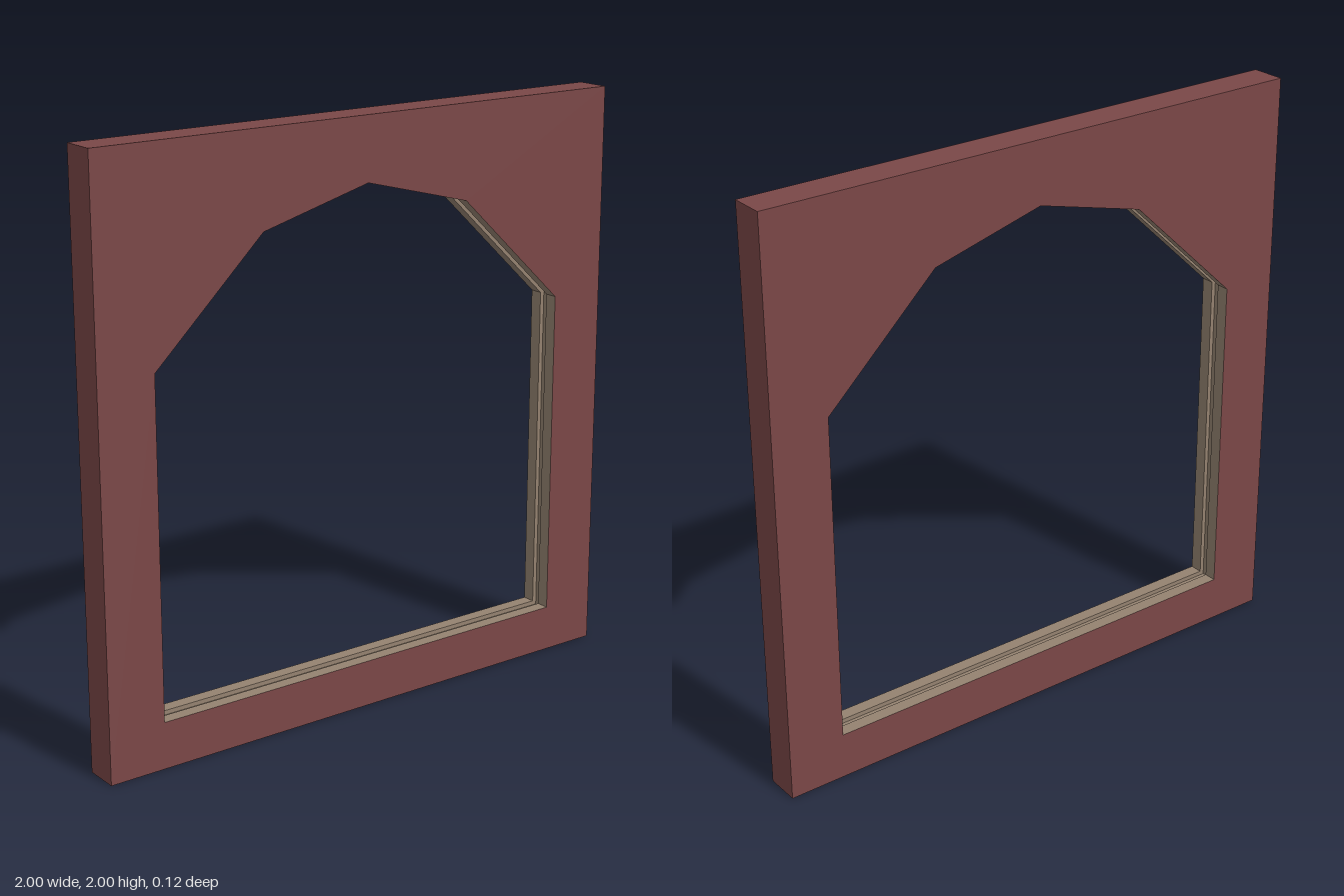
import * as THREE from 'three';

const HALF = 0.06; // half the wall thickness

// Opening outline, counter-clockwise seen from the front
const opening = [
  [-0.8, 0.16], [0.8, 0.16], [0.8, 1.3], [0.4, 1.68],
  [0, 1.785], [-0.4, 1.68], [-0.8, 1.3],
].map(([x, y]) => new THREE.Vector2(x, y));

// Outline pushed outward into the wall with mitred corners
function offsetOutline(points, d) {
  const n = points.length;
  const normal = (a, b) => new THREE.Vector2(b.y - a.y, a.x - b.x).normalize();
  return points.map((p, i) => {
    const n1 = normal(points[(i + n - 1) % n], p);
    const n2 = normal(p, points[(i + 1) % n]);
    const m = n1.clone().add(n2).normalize();
    return p.clone().addScaledVector(m, d / m.dot(n1));
  });
}

// Reveal surface: a cross-section of [depth into wall, z] swept round the opening
function revealGeometry(profile) {
  const rings = profile.map(([d, z]) =>
    offsetOutline(opening, d).map((p) => [p.x, p.y, z]));
  const pos = [];
  for (let k = 0; k < rings.length - 1; k++) {
    for (let i = 0; i < opening.length; i++) {
      const j = (i + 1) % opening.length;
      const a = rings[k][i], b = rings[k][j], c = rings[k + 1][j], d = rings[k + 1][i];
      pos.push(...a, ...b, ...c, ...a, ...c, ...d);
    }
  }
  const geo = new THREE.BufferGeometry();
  geo.setAttribute('position', new THREE.Float32BufferAttribute(pos, 3));
  geo.computeVertexNormals();
  return geo;
}

export function createModel() {
  const model = new THREE.Group();
  model.name = 'archedWindowFrame';
  const wallRed = new THREE.MeshStandardMaterial({ color: 0x7a4747 });
  wallRed.name = 'brownRed';
  const liningTan = new THREE.MeshStandardMaterial({ color: 0x948270 });
  liningTan.name = 'tan';

  const add = (name, geo, mat) => {
    const mesh = new THREE.Mesh(geo, mat);
    mesh.name = name;
    model.add(mesh);
    return mesh;
  };

  // Front and back faces with the arched hole
  const face = new THREE.Shape([[-1, 0], [1, 0], [1, 2], [-1, 2]]
    .map(([x, y]) => new THREE.Vector2(x, y)));
  face.holes.push(new THREE.Path(opening));
  const faceGeo = new THREE.ShapeGeometry(face);
  add('frontFace', faceGeo, wallRed).position.z = HALF;
  const back = add('backFace', faceGeo, wallRed);
  back.position.z = -HALF;
  back.rotation.y = Math.PI;

  // Outer edges: a box without its front and back
  const edges = new THREE.BoxGeometry(2, 2, HALF * 2);
  edges.setIndex(Array.from(edges.index.array).slice(0, 24));
  edges.clearGroups();
  add('outerEdges', edges, wallRed).position.y = 1;

  // Lining of the opening, with a shallow glazing groove
  add('openingLining', revealGeometry([
    [0, HALF], [0, 0.015], [0.015, 0.015],
    [0.015, -0.015], [0, -0.015], [0, -HALF],
  ]), liningTan);

  return model;
}
